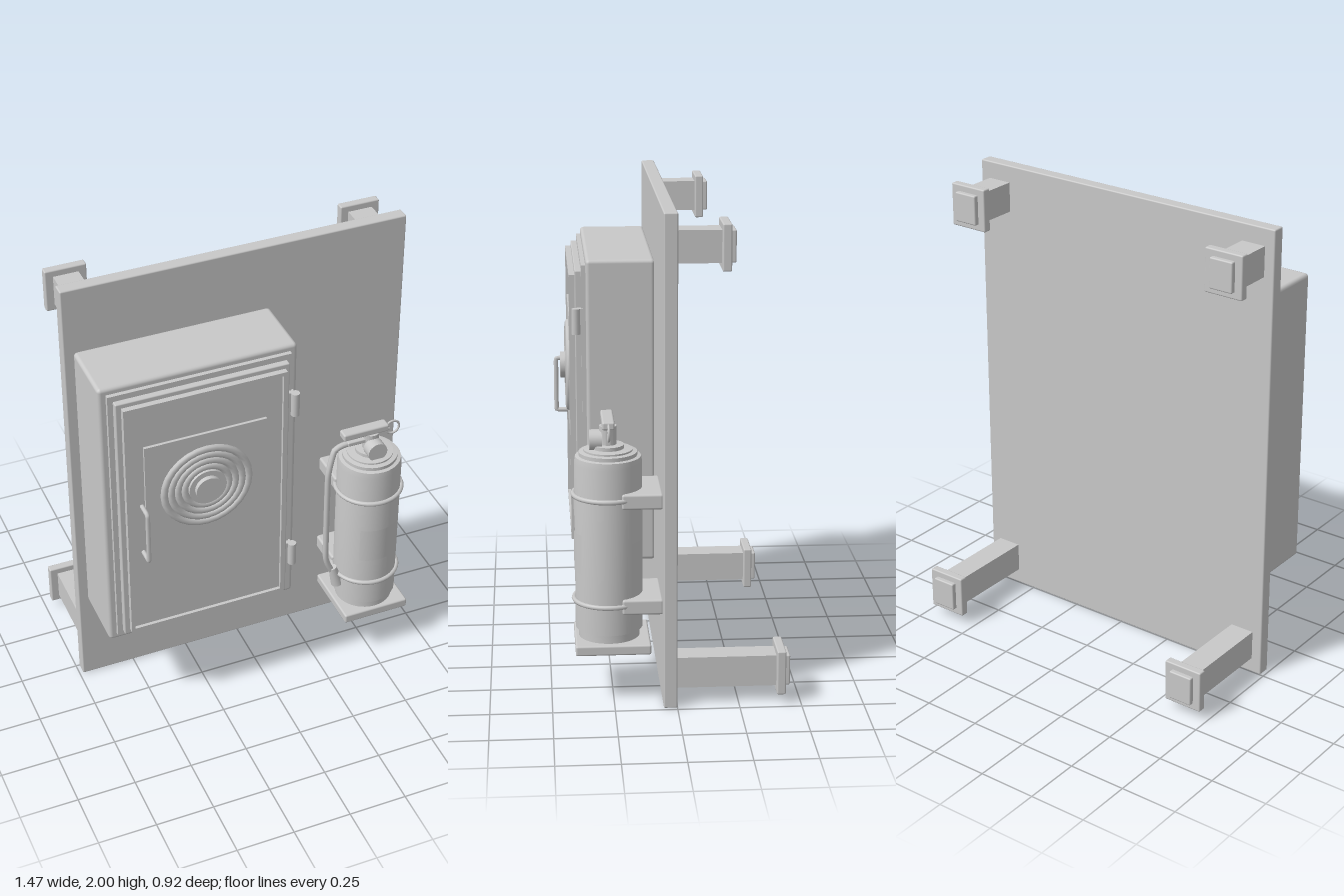
import * as THREE from 'three';
import { RoundedBoxGeometry } from 'three/addons/geometries/RoundedBoxGeometry.js';
import { toCreasedNormals } from 'three/addons/utils/BufferGeometryUtils.js';

export function createModel() {
  const root = new THREE.Group();
  root.name = 'safetyPanel';
  const grey = new THREE.MeshStandardMaterial({ color: 0xc8c8c8 });
  grey.name = 'plain grey';

  function group(name, parent = root) {
    const g = new THREE.Group();
    g.name = name;
    parent.add(g);
    return g;
  }
  function add(name, geometry, parent, x = 0, y = 0, z = 0) {
    const mesh = new THREE.Mesh(geometry, grey);
    mesh.name = name;
    mesh.position.set(x, y, z);
    parent.add(mesh);
    return mesh;
  }
  // Box given by its extents; a radius above zero rounds the edges
  function box(name, parent, x0, x1, y0, y1, z0, z1, r = 0) {
    const s = [x1 - x0, y1 - y0, z1 - z0];
    const geo = r ? new RoundedBoxGeometry(...s, 2, r) : new THREE.BoxGeometry(...s);
    return add(name, geo, parent, (x0 + x1) / 2, (y0 + y1) / 2, (z0 + z1) / 2);
  }
  const cyl = (r, h, n = 32) => new THREE.CylinderGeometry(r, r, h, n);
  const discZ = (r, h, n = 32) => cyl(r, h, n).rotateX(Math.PI / 2);
  const tube = (points, r, n = 40) => new THREE.TubeGeometry(
    new THREE.CatmullRomCurve3(points.map(p => new THREE.Vector3(...p)), false, 'catmullrom', 0.2), n, r, 8);

  // Backing board
  box('backBoard', root, -0.735, 0.735, 0, 2, 0, 0.055, 0.006);

  // Four wall posts, the lower pair longer
  for (const [y, length] of [[1.862, 0.17], [0.132, 0.402]]) {
    for (const x of [-0.637, 0.637]) {
      const post = group('wallPost');
      box('postShaft', post, x - 0.053, x + 0.053, y - 0.064, y + 0.064, -length, 0);
      box('postFlange', post, x - 0.087, x + 0.087, y - 0.092, y + 0.092, -length - 0.036, -length, 0.006);
      box('postCap', post, x - 0.053, x + 0.053, y - 0.064, y + 0.064, -length - 0.056, -length - 0.03, 0.006);
    }
  }

  // Cabinet body and stepped door
  const cabinet = group('cabinet');
  box('cabinetBody', cabinet, -0.695, 0.138, 0.424, 1.713, 0.05, 0.334, 0.016);
  box('doorSeal', cabinet, -0.663, 0.106, 0.456, 1.685, 0.32, 0.352);
  box('door', cabinet, -0.641, 0.086, 0.477, 1.66, 0.34, 0.378, 0.005);
  const frame = new THREE.Shape();
  frame.moveTo(-0.618, 0.5).lineTo(0.067, 0.5).lineTo(0.067, 1.64).lineTo(-0.618, 1.64).closePath();
  const opening = new THREE.Path();
  opening.moveTo(-0.602, 0.516).lineTo(-0.602, 1.624).lineTo(0.051, 1.624).lineTo(0.051, 0.516).closePath();
  frame.holes.push(opening);
  add('doorFrame', new THREE.ExtrudeGeometry(frame, { depth: 0.028, bevelEnabled: false }), cabinet, 0, 0, 0.374);
  box('doorPanel', cabinet, -0.602, 0.051, 0.516, 1.624, 0.37, 0.388);
  box('reelPlate', cabinet, -0.538, -0.018, 0.918, 1.437, 0.38, 0.4);

  // Coiled hose reel: concentric rings round a raised hub
  const reel = group('hoseReel', cabinet);
  reel.position.set(-0.278, 1.18, 0.397);
  add('reelDisc', discZ(0.19, 0.01), reel);
  for (const r of [0.182, 0.153, 0.124, 0.095]) {
    add('reelRing', new THREE.TorusGeometry(r, 0.017, 8, 28), reel);
  }
  add('hubBase', discZ(0.08, 0.03), reel, 0, 0, 0.005);
  add('hub', discZ(0.057, 0.04), reel, 0, 0, 0.019);

  // Door pull and hinges
  add('doorHandle', tube([[-0.55, 0.908, 0.37], [-0.55, 0.908, 0.44], [-0.55, 0.918, 0.45],
    [-0.55, 1.135, 0.45], [-0.55, 1.145, 0.44], [-0.55, 1.145, 0.37]], 0.01, 60), cabinet);
  for (const y of [1.454, 0.674]) {
    add('hingeBarrel', cyl(0.018, 0.107, 16), cabinet, 0.114, y, 0.375);
    box('hingeLeaf', cabinet, 0.07, 0.114, y - 0.053, y + 0.053, 0.345, 0.37);
  }

  // Shelf and brackets holding the extinguisher
  const cx = 0.516, cz = 0.263;
  const mount = group('extinguisherMount');
  box('shelf', mount, cx - 0.149, cx + 0.149, 0.202, 0.244, 0.1, 0.403, 0.008);
  for (const y of [0.838, 0.398]) {
    box('bracket', mount, cx - 0.134, cx + 0.134, y - 0.032, y + 0.032, 0.05, 0.215, 0.01);
    add('band', new THREE.TorusGeometry(0.141, 0.01, 8, 40).rotateX(Math.PI / 2), mount, cx, y + 0.003, cz);
  }

  // Extinguisher body, turned from one profile
  const ext = group('extinguisher');
  ext.position.set(cx, 0, cz);
  const profile = [[0, 0.244], [0.124, 0.244], [0.124, 0.281], [0.136, 0.281], [0.136, 0.97],
    [0.132, 0.997], [0.117, 1.0], [0.117, 1.015], [0.098, 1.018], [0.098, 1.025],
    [0.064, 1.028], [0.064, 1.043], [0.035, 1.045], [0.035, 1.12], [0, 1.12]];
  add('extinguisherBody', toCreasedNormals(new THREE.LatheGeometry(
    profile.map(p => new THREE.Vector2(...p)), 36), 0.5), ext);
  const label = add('label', new THREE.CylinderGeometry(0.139, 0.139, 0.165, 12, 1, true, -0.64, 1.28), ext, 0, 0.607, 0);
  label.material = grey;
  grey.side = THREE.DoubleSide;

  // Valve, gauge, levers and safety pin
  add('gauge', discZ(0.043, 0.05, 24), ext, 0, 1.06, 0.05);
  box('topLever', ext, -0.134, 0.073, 1.117, 1.15, -0.025, 0.025, 0.008);
  box('lowerLever', ext, -0.11, 0.03, 1.078, 1.098, -0.016, 0.016, 0.005);
  add('safetyPin', cyl(0.006, 0.1, 8).rotateZ(Math.PI / 2), ext, 0.035, 1.112, 0);
  add('pinRing', new THREE.TorusGeometry(0.031, 0.005, 8, 24), ext, 0.1, 1.114, 0);

  // Discharge hose and nozzle
  add('hose', tube([[-0.03, 1.085, 0], [-0.12, 1.085, 0], [-0.168, 1.07, 0.005], [-0.198, 0.95, 0.015],
    [-0.198, 0.52, 0.018], [-0.185, 0.46, 0.018], [-0.166, 0.42, 0.018]], 0.013), ext);
  const nozzle = add('nozzle', new THREE.CylinderGeometry(0.018, 0.027, 0.1, 16), ext, -0.15, 0.389, 0.018);
  nozzle.rotation.z = 0.25;

  return root;
}
